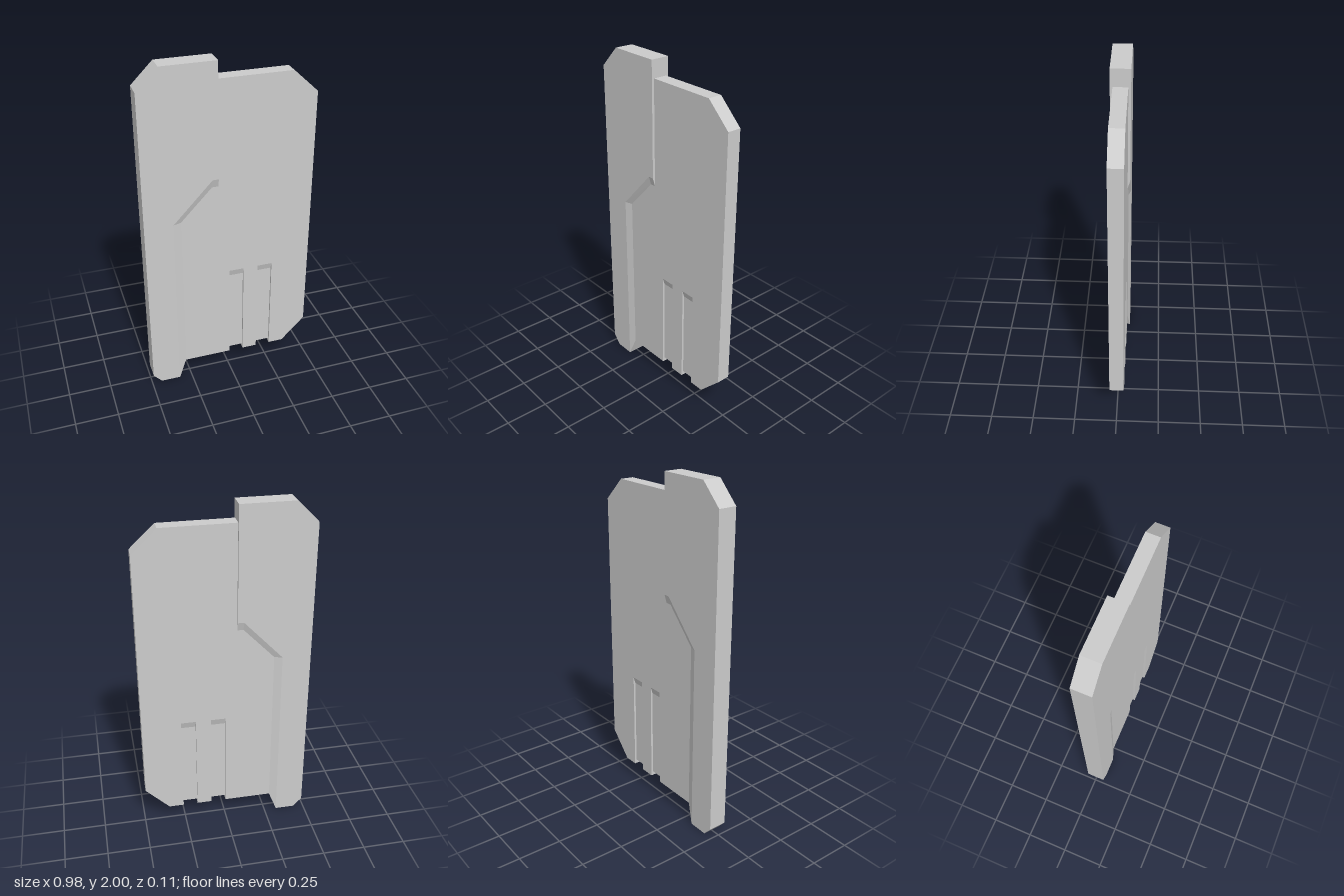
import * as THREE from 'three';

const T = 0.054, P = 0.04, G = 0.028; // half thickness: raised spine, plate, groove floor
const grooveSpans = [[0, 0.087], [0.175, 0.262]];
const grooveEnd = 0.72, grooveSlope = 0.68, notchTop = 0.14, plateBase = 0.115;
const stepX = -0.065;

const atZ = (points, z) => points.map(([x, y]) => [x, y, z]);
const atX = (points, x) => points.map(([y, z]) => [x, y, z]);

// Triangulates a flat polygon, keeping the facing given by its corner order
function addFace(out, corners) {
  const pts = corners.map((c) => new THREE.Vector3(...c));
  const normal = new THREE.Vector3();
  pts.forEach((p, i) => normal.add(p.clone().cross(pts[(i + 1) % pts.length])));
  const size = normal.toArray().map(Math.abs);
  const drop = size.indexOf(Math.max(...size));
  const [u, v] = [0, 1, 2].filter((k) => k !== drop);
  const flat = corners.map((c) => new THREE.Vector2(c[u], c[v]));
  for (const [a, b, c] of THREE.ShapeUtils.triangulateShape(flat, [])) {
    const n = pts[b].clone().sub(pts[a]).cross(pts[c].clone().sub(pts[a]));
    const order = n.dot(normal) > 0 ? [a, b, c] : [a, c, b];
    order.forEach((i) => out.push(...corners[i]));
  }
}

// Makes a mesh from the faces of the front half and their mirror image behind
function mirroredMesh(name, faces) {
  const out = [];
  for (const face of faces) {
    addFace(out, face);
    addFace(out, face.map(([x, y, z]) => [x, y, -z]).reverse());
  }
  const geometry = new THREE.BufferGeometry();
  geometry.setAttribute('position', new THREE.Float32BufferAttribute(out, 3));
  geometry.computeVertexNormals();
  const material = new THREE.MeshStandardMaterial({ color: 0xcccccc, flatShading: true });
  const mesh = new THREE.Mesh(geometry, material);
  mesh.name = name;
  return mesh;
}

// Edge walls from the middle plane out to the surface along an anticlockwise path
function rim(path) {
  return path.slice(1).map((b, i) => {
    const a = path[i];
    return [[a[0], a[1], 0], [b[0], b[1], 0], b, a];
  });
}

export function createModel() {
  const group = new THREE.Group();
  group.name = 'notchedPlate';

  // Bevel between the raised spine and the plate
  const bevelTop = [[-0.325, 0], [-0.325, 1.1], [-0.1, 1.34], [stepX, 1.34]];
  const bevelFoot = [[-0.28, plateBase], [-0.28, 1.1], [-0.1, 1.29], [stepX, 1.29]];

  // Raised spine
  const spineEdge = [[stepX, 2], [-0.37, 2], [-0.49, 1.88], [-0.49, 0.055], [-0.44, 0], [-0.325, 0]];
  const spine = [
    atZ([...spineEdge, ...bevelTop.slice(1)], T),
    ...rim([...atZ(spineEdge, T), [...bevelFoot[0], P]]),
    atX([[1.29, P], [1.9, P], [1.9, 0], [2, 0], [2, T], [1.34, T]], stepX),
  ];
  for (let i = 0; i < 3; i++) {
    spine.push([
      [...bevelTop[i], T], [...bevelFoot[i], P],
      [...bevelFoot[i + 1], P], [...bevelTop[i + 1], T],
    ]);
  }
  group.add(mirroredMesh('raisedSpine', spine));

  // Thin plate, cut out around the grooves
  const plateEdge = [[0.35, plateBase], [0.49, 0.26], [0.49, 1.77], [0.35, 1.9], [stepX, 1.9]];
  const cutouts = grooveSpans.flatMap(([a, b]) => [
    [a, plateBase], [a, grooveEnd], [b, grooveEnd], [b, plateBase],
  ]);
  const plate = [
    atZ([bevelFoot[0], ...cutouts, ...plateEdge, ...bevelFoot.slice(1).reverse()], P),
    ...rim(atZ(plateEdge, P)),
  ];
  const baseStops = [-0.28, ...grooveSpans.flat(), 0.35];
  for (let i = 0; i < baseStops.length; i += 2) {
    plate.push(...rim(atZ([[baseStops[i], plateBase], [baseStops[i + 1], plateBase]], P)));
  }
  group.add(mirroredMesh('plate', plate));

  // Contact grooves with sloped upper ends and notched lower ends
  const grooveWall = [
    [plateBase, 0], [notchTop, 0], [notchTop, G], [grooveSlope, G], [grooveEnd, P], [plateBase, P],
  ];
  const grooves = grooveSpans.flatMap(([a, b]) => [
    atZ([[a, notchTop], [b, notchTop], [b, grooveSlope], [a, grooveSlope]], G),
    [[a, grooveSlope, G], [b, grooveSlope, G], [b, grooveEnd, P], [a, grooveEnd, P]],
    ...rim(atZ([[a, notchTop], [b, notchTop]], G)),
    atX(grooveWall, a),
    atX(grooveWall, b).reverse(),
  ]);
  group.add(mirroredMesh('grooves', grooves));

  return group;
}
